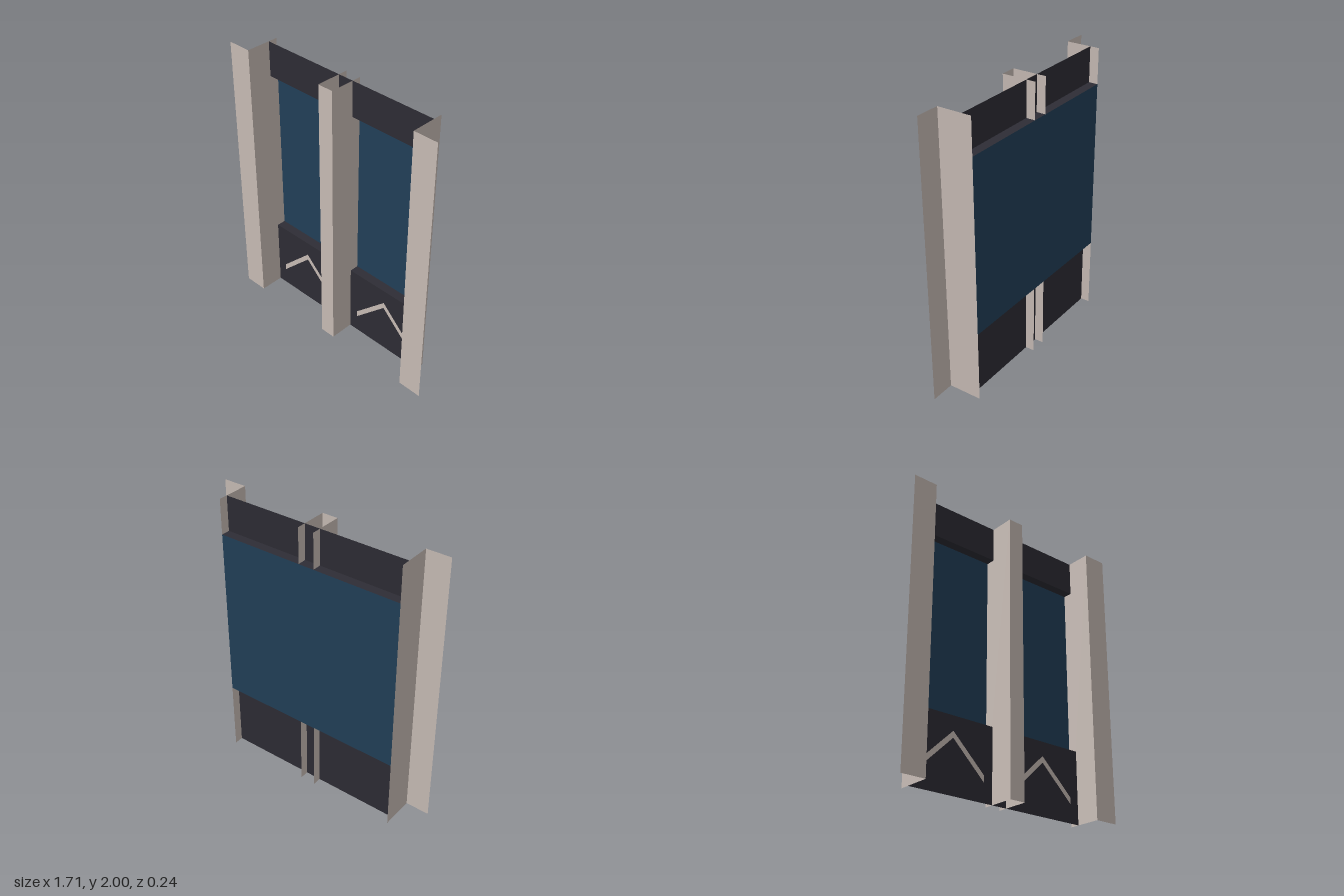
import * as THREE from 'three';

export function createModel() {
  const root = new THREE.Group();
  root.name = 'windowedWallPanel';

  const material = (name, color) => {
    const m = new THREE.MeshStandardMaterial({ color, side: THREE.DoubleSide });
    m.name = name;
    return m;
  };
  const beige = material('beige post', 0xcbbfb8);
  const dark = material('dark panel', 0x2e2d35);
  const blue = material('blue glass', 0x224059);

  const H = 2, FRONT = 0.12, BACK = -0.12, PANEL = -0.055;
  const INNER = 0.685, OUTER = 0.857, MID = 0.057;
  const SILL = 0.515, HEAD = 1.75;

  const add = (name, geometry, mat, x, y, z, parent = root) => {
    const mesh = new THREE.Mesh(geometry, mat);
    mesh.name = name;
    mesh.position.set(x, y, z);
    parent.add(mesh);
    return mesh;
  };
  // Upright sheet facing the front
  const frontSheet = (name, mat, x0, x1, y0, y1, z, parent) =>
    add(name, new THREE.PlaneGeometry(x1 - x0, y1 - y0), mat, (x0 + x1) / 2, (y0 + y1) / 2, z, parent);
  // Upright sheet facing sideways, spanning the full depth
  const sideSheet = (name, x, sign, parent) =>
    add(name, new THREE.PlaneGeometry(FRONT - BACK, H).rotateY(sign * Math.PI / 2), beige, x, H / 2, 0, parent);
  // Level sheet joining the panel plane to the glass plane
  const ledge = (name, y) =>
    add(name, new THREE.PlaneGeometry(2 * INNER, PANEL - BACK).rotateX(-Math.PI / 2), dark, 0, y, (PANEL + BACK) / 2);

  // Solid panels above and below the recessed glass
  frontSheet('lowerPanel', dark, -INNER, INNER, 0, SILL, PANEL);
  frontSheet('upperPanel', dark, -INNER, INNER, HEAD, H, PANEL);
  frontSheet('glass', blue, -INNER, INNER, SILL, HEAD, BACK);
  ledge('sillLedge', SILL);
  ledge('headLedge', HEAD);

  // Open U-shaped centre post
  const centre = new THREE.Group();
  centre.name = 'centrePost';
  root.add(centre);
  frontSheet('centrePostFace', beige, -MID, MID, 0, H, FRONT, centre);

  // Chevron trim outline, centred on its panel
  const chevron = new THREE.Shape([
    [-0.245, 0.13], [0, 0.367], [0.245, 0.13],
    [0.245, 0.177], [0, 0.413], [-0.245, 0.177],
  ].map(([x, y]) => new THREE.Vector2(x, y)));

  for (const s of [-1, 1]) {
    const label = s > 0 ? 'left' : 'right';
    sideSheet(label + 'CentrePostSide', s * MID, s, centre);

    // L-shaped outer post
    const post = new THREE.Group();
    post.name = label + 'Post';
    root.add(post);
    const [x0, x1] = s > 0 ? [INNER, OUTER] : [-OUTER, -INNER];
    frontSheet(label + 'PostFace', beige, x0, x1, 0, H, FRONT, post);
    sideSheet(label + 'PostReturn', s * INNER, -s, post);

    add(label + 'Chevron', new THREE.ShapeGeometry(chevron), beige, s * 0.37, 0, PANEL + 0.003);
  }

  return root;
}
